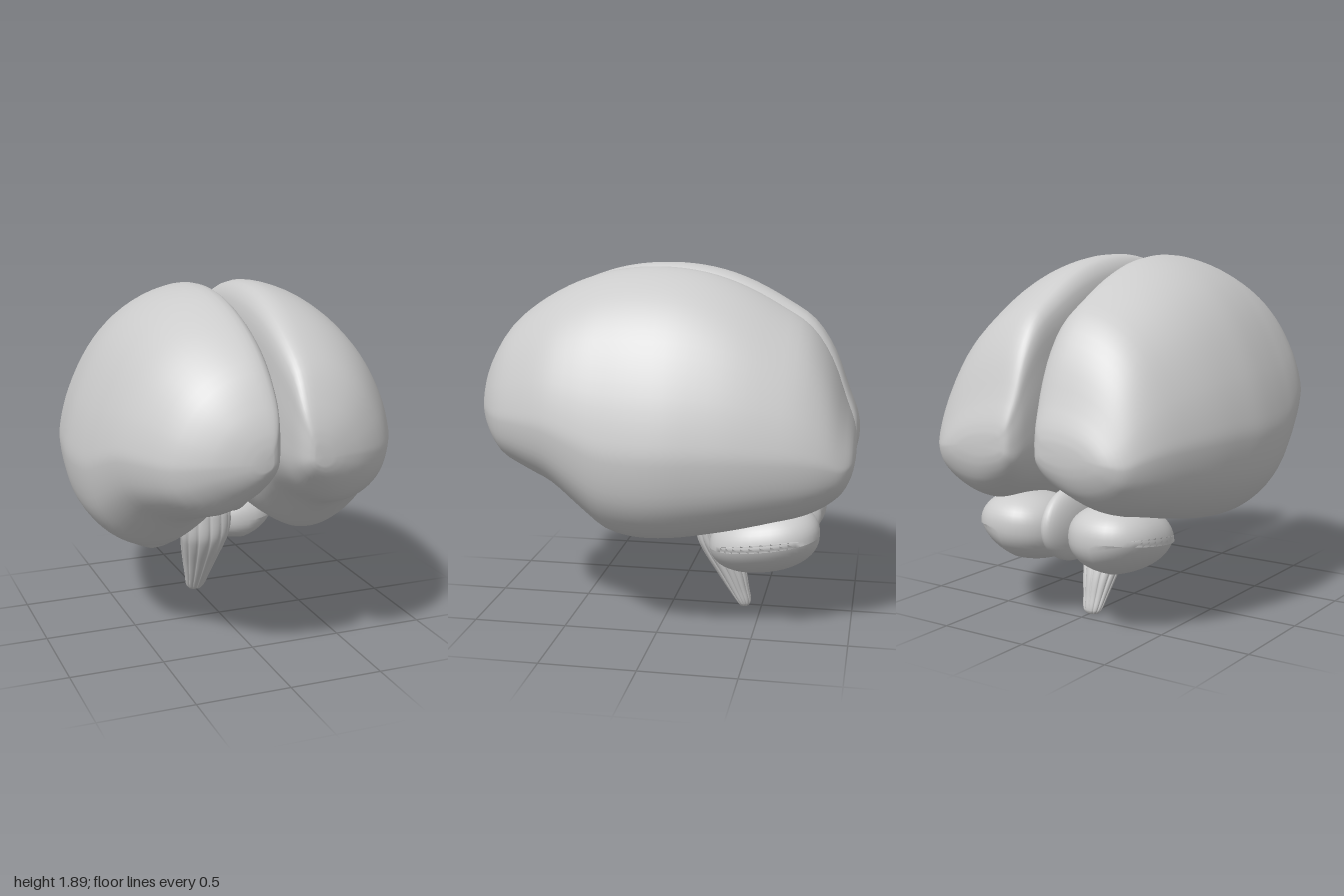
import * as THREE from 'three';

const material = new THREE.MeshStandardMaterial({ color: 0xcccccc });

function part(parent, name, geometry) {
  const mesh = new THREE.Mesh(geometry, material);
  mesh.name = name;
  parent.add(mesh);
  return mesh;
}

// Smooth skin over closed rings of equal length, capped at both ends.
function loft(rings, steps) {
  const n = rings[0].length;
  const curves = rings[0].map((_, j) => new THREE.CatmullRomCurve3(rings.map(r => r[j])));
  const position = [], index = [];
  for (let i = 0; i <= steps; i++) {
    // stay on the station grid so neighbouring curves keep in step
    for (let j = 0; j < n; j++) position.push(...curves[j].getPoint(i / steps).toArray());
  }
  for (let i = 0; i < steps; i++) {
    for (let j = 0; j < n; j++) {
      const k = (j + 1) % n;
      const a = i * n + j, b = i * n + k, c = a + n, d = b + n;
      index.push(a, b, c, b, d, c);
    }
  }
  const first = position.length / 3;
  for (const ring of [rings[0], rings[rings.length - 1]]) {
    const centre = new THREE.Vector3();
    ring.forEach(p => centre.addScaledVector(p, 1 / n));
    position.push(...centre.toArray());
  }
  for (let j = 0; j < n; j++) {
    const k = (j + 1) % n, e = steps * n;
    index.push(first, k, j, first + 1, e + j, e + k);
  }
  const geometry = new THREE.BufferGeometry();
  geometry.setAttribute('position', new THREE.Float32BufferAttribute(position, 3));
  geometry.setIndex(index);
  geometry.computeVertexNormals();
  return geometry;
}

function ellipsoid(parent, name, centre, radii, tilt = 0) {
  const geometry = new THREE.SphereGeometry(1, 36, 24);
  geometry.scale(...radii);
  geometry.rotateX(tilt);
  geometry.translate(...centre);
  return part(parent, name, geometry);
}

// Hemisphere cross-section: across (0 = midline side), up (0 = underside)
const SECTION = [
  [0, 0.5], [0.01, 0.75], [0.04, 0.94], [0.12, 1], [0.34, 0.985], [0.585, 0.9],
  [0.77, 0.77], [0.92, 0.58], [0.99, 0.42], [1, 0.34], [0.95, 0.19], [0.83, 0.08],
  [0.65, 0.01], [0.46, 0], [0.28, 0.055], [0.12, 0.145], [0.02, 0.29],
];

// Hemisphere stations: z, top, bottom, inner x, outer x
const STATIONS = [
  [1.0, 1.23, 1.13, 0.11, 0.2],
  [0.985, 1.31, 1.085, 0.08, 0.28],
  [0.94, 1.42, 1.01, 0.05, 0.41],
  [0.84, 1.57, 0.9, 0.035, 0.56],
  [0.7, 1.685, 0.84, 0.022, 0.66],
  [0.54, 1.775, 0.775, 0.016, 0.74],
  [0.38, 1.835, 0.65, 0.012, 0.79],
  [0.25, 1.865, 0.555, 0.009, 0.817],
  [0.1, 1.88, 0.522, 0.008, 0.835],
  [-0.08, 1.875, 0.528, 0.013, 0.84],
  [-0.25, 1.845, 0.553, 0.021, 0.82],
  [-0.42, 1.785, 0.585, 0.027, 0.79],
  [-0.6, 1.69, 0.625, 0.033, 0.742],
  [-0.75, 1.59, 0.66, 0.037, 0.69],
  [-0.86, 1.43, 0.71, 0.045, 0.635],
  [-0.94, 1.22, 0.775, 0.06, 0.57],
  [-0.985, 1.1, 0.86, 0.085, 0.49],
  [-1.0, 1.03, 0.93, 0.13, 0.38],
];

function hemisphere(side) {
  const outline = new THREE.CatmullRomCurve3(
    SECTION.map(([u, v]) => new THREE.Vector3(u, v, 0)), true).getPoints(68).slice(0, -1);
  const rings = STATIONS.map(([z, top, bottom, inner, outer]) => {
    const ring = outline.map(p => new THREE.Vector3(
      side * (inner + (outer - inner) * p.x), bottom + (top - bottom) * p.y, z));
    return side < 0 ? ring.reverse() : ring;
  });
  return loft(rings, (STATIONS.length - 1) * 3);
}

// Tapering, fluted stem; rows: y, half width, front z, back z
function medulla() {
  const rows = [
    [0.555, 0.09, -0.16, -0.23], [0.55, 0.135, -0.138, -0.255], [0.5, 0.15, -0.13, -0.28],
    [0.4, 0.146, -0.133, -0.33], [0.32, 0.13, -0.165, -0.37], [0.2, 0.1, -0.24, -0.41],
    [0.1, 0.075, -0.305, -0.428], [0.02, 0.054, -0.36, -0.44], [0, 0.038, -0.375, -0.43],
  ];
  const n = 120, flutes = 12;
  const rings = rows.map(([y, w, front, back]) => Array.from({ length: n }, (_, j) => {
    const t = j / n * Math.PI * 2;
    const r = 0.89 + 0.11 * Math.sqrt(Math.abs(Math.sin(t * flutes / 2)));
    return new THREE.Vector3(-Math.sin(t) * w * r, y,
      (front + back) / 2 + Math.cos(t) * r * (front - back) / 2);
  }));
  return loft(rings, (rows.length - 1) * 4);
}

export function createModel() {
  const model = new THREE.Group();
  model.name = 'brain';

  for (const [side, label] of [[1, 'left'], [-1, 'right']]) {
    part(model, label + 'Hemisphere', hemisphere(side));

    // Cerebellar lobe: flattened, rising towards the back, squared off a little
    const lobe = new THREE.SphereGeometry(1, 40, 28);
    const p = lobe.attributes.position;
    for (let i = 0; i < p.count; i++) {
      const [x, y, z] = [p.getX(i), p.getY(i), p.getZ(i)]
        .map(c => Math.sign(c) * Math.pow(Math.abs(c), 0.9));
      const lift = y < 0 ? 0.07 * Math.max(0, x) : 0;
      p.setXYZ(i, side * (0.285 + x * 0.245), 0.48 + y * 0.185 + lift - z * 0.04, -0.54 + z * 0.29);
    }
    if (side < 0) {
      const order = lobe.index.array;
      for (let i = 0; i < order.length; i += 3) [order[i], order[i + 1]] = [order[i + 1], order[i]];
    }
    lobe.computeVertexNormals();
    part(model, label + 'Cerebellum', lobe);

    // Paired parts of the upper stem and core
    ellipsoid(model, label + 'Pons', [side * 0.115, 0.735, -0.13], [0.125, 0.17, 0.17]);
    ellipsoid(model, label + 'Thalamus', [side * 0.08, 1.12, -0.18], [0.075, 0.11, 0.16]);
    for (let i = 0; i < 2; i++) {
      ellipsoid(model, label + 'Colliculus', [side * 0.035, 1.02 - i * 0.09, -0.31 - i * 0.04], [0.04, 0.045, 0.045]);
    }
    ellipsoid(model, label + 'Fornix', [side * 0.022, 1.27, -0.2], [0.024, 0.06, 0.17], 0.2);
  }

  // Midline parts
  ellipsoid(model, 'vermis', [0, 0.53, -0.55], [0.085, 0.2, 0.27], 0.1);
  const midbrain = new THREE.CylinderGeometry(0.12, 0.15, 0.4, 32);
  midbrain.translate(0, 0.88, -0.2);
  part(model, 'midbrain', midbrain);
  ellipsoid(model, 'pinealBody', [0, 1.09, -0.34], [0.025, 0.03, 0.05]);
  ellipsoid(model, 'pituitaryBody', [0, 1.1, -0.03], [0.025, 0.035, 0.03]);
  part(model, 'medulla', medulla());

  return model;
}
